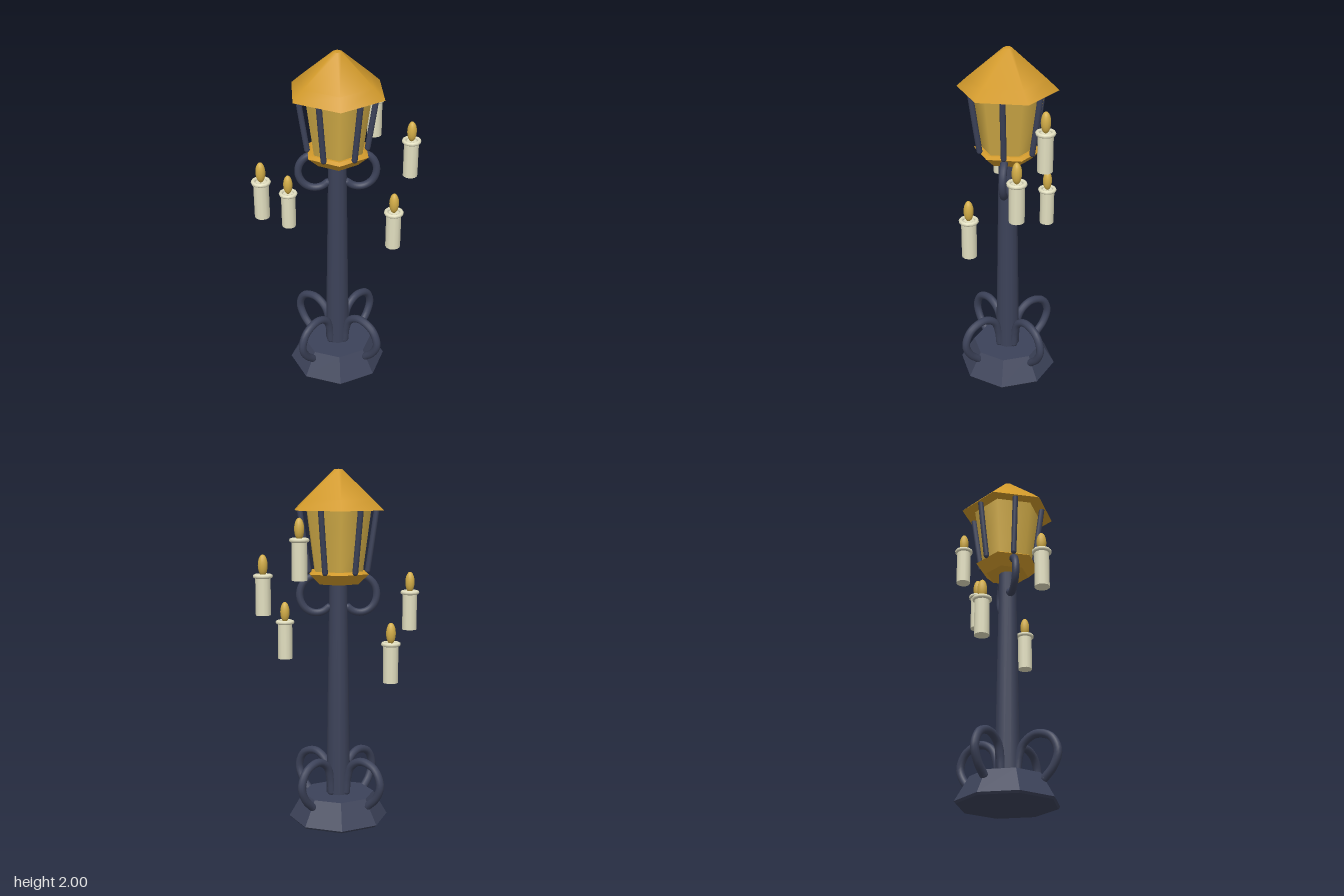
import * as THREE from 'three';

const material = (name, color, extra = {}) => {
  const m = new THREE.MeshStandardMaterial({ color, ...extra });
  m.name = name;
  return m;
};

export function createModel() {
  const iron = material('dark iron', 0x3c4259);
  const ironFlat = material('dark iron faceted', 0x3c4259, { flatShading: true });
  const gold = material('gold', 0xd29a2b);
  const glow = material('amber glow', 0xd4ae48);
  const wax = material('wax', 0xe2dfc0);

  const lamp = new THREE.Group();
  lamp.name = 'lampPost';

  const add = (parent, name, geometry, mat, x = 0, y = 0, z = 0) => {
    const mesh = new THREE.Mesh(geometry, mat);
    mesh.name = name;
    mesh.position.set(x, y, z);
    parent.add(mesh);
    return mesh;
  };
  // Upright tapered prism between two heights
  const frustum = (parent, name, r0, y0, r1, y1, sides, mat, open = false) =>
    add(parent, name, new THREE.CylinderGeometry(r1, r0, y1 - y0, sides, 1, open), mat, 0, (y0 + y1) / 2, 0);
  // Round iron bar along points, with rounded ends
  const bar = (parent, name, points, radius) => {
    const group = new THREE.Group();
    group.name = name;
    const curve = new THREE.CatmullRomCurve3(points.map(([x, y]) => new THREE.Vector3(x, y, 0)));
    add(group, name + 'Tube', new THREE.TubeGeometry(curve, 28, radius, 10), iron);
    for (const [x, y] of [points[0], points[points.length - 1]])
      add(group, name + 'End', new THREE.SphereGeometry(radius, 10, 6), iron, x, y);
    parent.add(group);
    return group;
  };

  // Octagonal foot
  frustum(lamp, 'footRim', 0.275, 0, 0.285, 0.012, 8, ironFlat);
  frustum(lamp, 'foot', 0.285, 0.012, 0.205, 0.15, 8, ironFlat);

  // Tapering post
  frustum(lamp, 'post', 0.07, 0.14, 0.05, 1.4, 12, iron);

  // Four scrolls over the foot, on the diagonals
  for (let i = 0; i < 4; i++) {
    const scroll = bar(lamp, 'footScroll', [
      [0.225, 0.115], [0.28, 0.17], [0.31, 0.25], [0.27, 0.335],
      [0.175, 0.365], [0.1, 0.325], [0.07, 0.25], [0.06, 0.165],
    ], 0.023);
    scroll.rotation.y = Math.PI / 4 + i * Math.PI / 2;
  }

  // Two curled brackets beneath the lantern
  for (let i = 0; i < 2; i++) {
    const points = [];
    for (let k = 0; k <= 12; k++) {
      const a = THREE.MathUtils.degToRad(105 - k * 20);
      points.push([0.122 + 0.095 * Math.cos(a), 1.308 + 0.103 * Math.sin(a)]);
    }
    bar(lamp, 'bracketCurl', points, 0.021).rotation.y = i * Math.PI;
  }

  // Lantern: hexagonal collar, glowing panes and roof
  const lantern = new THREE.Group();
  lantern.name = 'lantern';
  lamp.add(lantern);
  frustum(lantern, 'collar', 0.125, 1.37, 0.187, 1.428, 6, gold);
  frustum(lantern, 'collarTop', 0.187, 1.428, 0.165, 1.442, 6, gold);
  frustum(lantern, 'panes', 0.15, 1.435, 0.2, 1.785, 6, glow);
  frustum(lantern, 'roofEave', 0.275, 1.777, 0.212, 1.835, 6, gold);
  frustum(lantern, 'roof', 0.212, 1.835, 0.024, 1.998, 6, gold, true);
  frustum(lantern, 'roofTip', 0.024, 1.998, 0.001, 2, 6, gold);

  // Six leaning bars around the panes
  for (let i = 0; i < 6; i++) {
    const rod = bar(lantern, 'cageBar', [[0.165, 1.44], [0.19, 1.61], [0.214, 1.78]], 0.016);
    rod.rotation.y = i * Math.PI / 3;
  }

  // Floating candles: x, bottom y, z
  for (const [x, y, z] of [
    [-0.42, 1.088, 0.098], [-0.274, 0.84, -0.2], [0.298, 0.912, 0.172],
    [0.42, 1.208, -0.1], [0.224, 1.41, -0.225],
  ]) {
    const candle = new THREE.Group();
    candle.name = 'candle';
    candle.position.set(x, y, z);
    lamp.add(candle);
    frustum(candle, 'candleBody', 0.042, 0, 0.042, 0.215, 12, wax);
    const rim = add(candle, 'candleRim', new THREE.TorusGeometry(0.043, 0.012, 8, 12), wax, 0, 0.215, 0);
    rim.rotation.x = Math.PI / 2;
    add(candle, 'flame', new THREE.SphereGeometry(0.027, 14, 10), glow, 0, 0.274, 0).scale.y = 2.2;
  }

  return lamp;
}
